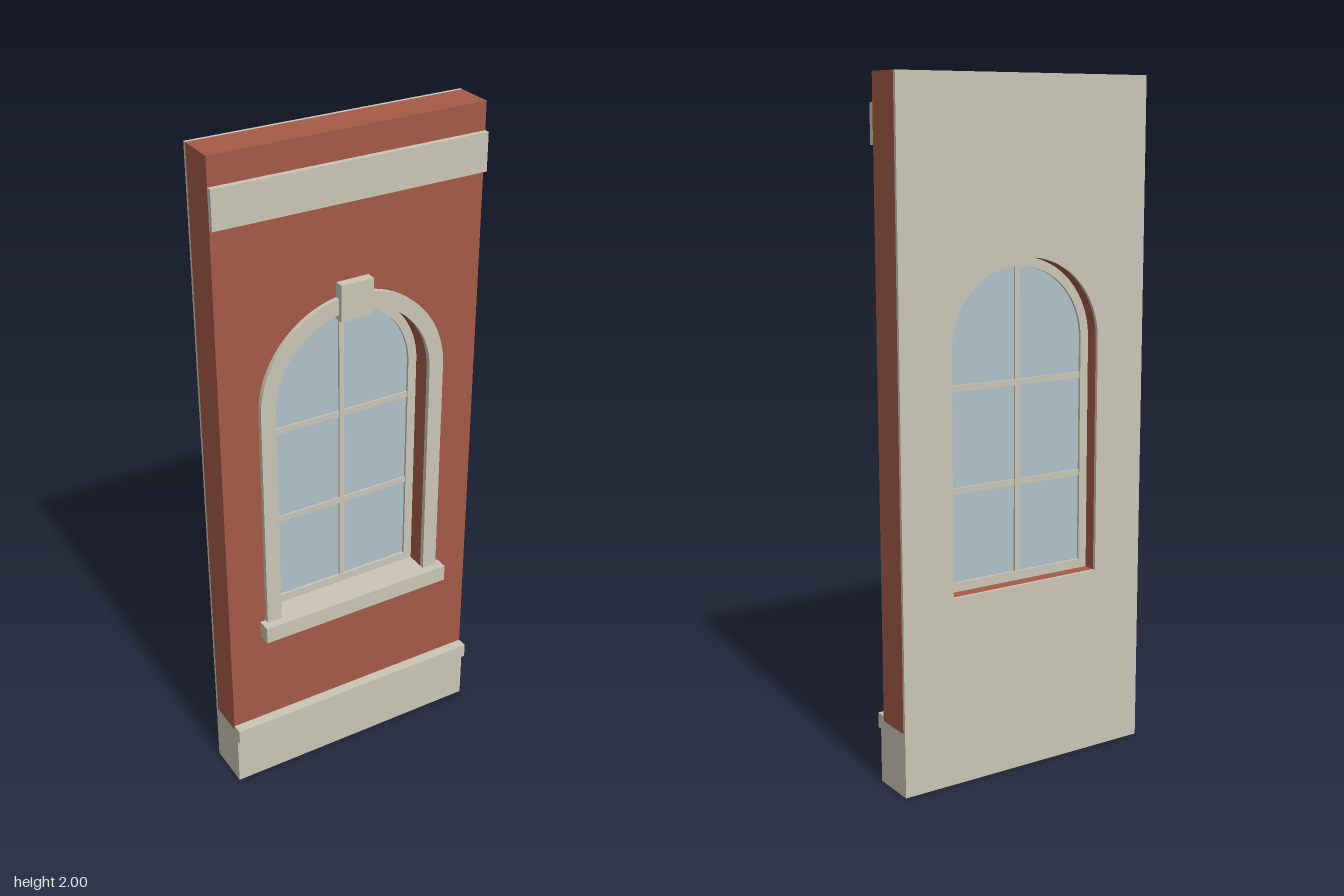
import * as THREE from 'three';

const HALF_WIDTH = 0.41, SPRING = 1.255, OPEN_BOTTOM = 0.56, OPEN_R = 0.247;

// Round-headed outline: straight jambs with a semicircle on top
function archOutline(target, r, bottom) {
  target.moveTo(-r, bottom);
  target.lineTo(r, bottom);
  target.lineTo(r, SPRING);
  target.absarc(0, SPRING, r, 0, Math.PI, false);
  target.lineTo(-r, bottom);
  return target;
}

function wallShape(bottom) {
  const s = new THREE.Shape();
  s.moveTo(-HALF_WIDTH, bottom);
  s.lineTo(HALF_WIDTH, bottom);
  s.lineTo(HALF_WIDTH, 2);
  s.lineTo(-HALF_WIDTH, 2);
  s.closePath();
  s.holes.push(archOutline(new THREE.Path(), OPEN_R, OPEN_BOTTOM));
  return s;
}

export function createModel() {
  const group = new THREE.Group();
  group.name = 'arched window wall';
  const material = (name, color) => {
    const m = new THREE.MeshStandardMaterial({ color });
    m.name = name;
    return m;
  };
  const brick = material('red brick', 0xa45a47);
  const stone = material('pale stone', 0xcbc5b7);
  const glass = material('blue glass', 0xb0c1ca);

  const add = (name, geometry, mat) => {
    const mesh = new THREE.Mesh(geometry, mat);
    mesh.name = name;
    group.add(mesh);
    return mesh;
  };
  const box = (name, mat, x0, x1, y0, y1, z0, z1) =>
    add(name, new THREE.BoxGeometry(x1 - x0, y1 - y0, z1 - z0), mat)
      .position.set((x0 + x1) / 2, (y0 + y1) / 2, (z0 + z1) / 2);
  const slab = (name, mat, shape, z0, z1) =>
    add(name, new THREE.ExtrudeGeometry(shape, { depth: z1 - z0, bevelEnabled: false, curveSegments: 24 }), mat)
      .position.z = z0;

  // Wall body and plastered inner face
  slab('brickWall', brick, wallShape(0.19), -0.073, 0.04);
  slab('innerPlaster', stone, wallShape(0), -0.083, -0.073);

  // Horizontal stone courses
  box('plinth', stone, -HALF_WIDTH, HALF_WIDTH, 0, 0.19, -0.073, 0.057);
  box('plinthCap', stone, -HALF_WIDTH, HALF_WIDTH, 0.16, 0.205, 0.039, 0.072);
  box('cornice', stone, -HALF_WIDTH, HALF_WIDTH, 1.81, 1.92, 0.039, 0.056);

  // Arched surround, open at the foot where it meets the sill
  const surround = new THREE.Shape();
  surround.moveTo(0.293, OPEN_BOTTOM);
  surround.lineTo(0.293, SPRING);
  surround.absarc(0, SPRING, 0.293, 0, Math.PI, false);
  surround.lineTo(-0.293, OPEN_BOTTOM);
  surround.lineTo(-OPEN_R, OPEN_BOTTOM);
  surround.lineTo(-OPEN_R, SPRING);
  surround.absarc(0, SPRING, OPEN_R, Math.PI, 0, true);
  surround.lineTo(OPEN_R, OPEN_BOTTOM);
  slab('surround', stone, surround, 0.039, 0.055);
  box('keystone', stone, -0.05, 0.05, 1.48, 1.587, 0.035, 0.068);

  // Sill with its ledge inside the opening
  box('sill', stone, -0.31, 0.31, 0.51, 0.562, 0.039, 0.081);
  box('sillLedge', stone, -0.246, 0.246, 0.555, 0.562, -0.016, 0.039);

  // Window frame, pane and glazing bars
  const frame = archOutline(new THREE.Shape(), OPEN_R, OPEN_BOTTOM);
  frame.holes.push(archOutline(new THREE.Path(), 0.22, 0.587));
  slab('windowFrame', stone, frame, -0.036, -0.014);
  slab('windowPane', glass, archOutline(new THREE.Shape(), 0.222, 0.585), -0.028, -0.022);
  box('verticalBar', stone, -0.008, 0.008, 0.58, 1.48, -0.034, -0.016);
  for (const y of [0.854, 1.146]) {
    box('horizontalBar', stone, -0.225, 0.225, y - 0.009, y + 0.009, -0.033, -0.017);
  }
  return group;
}
